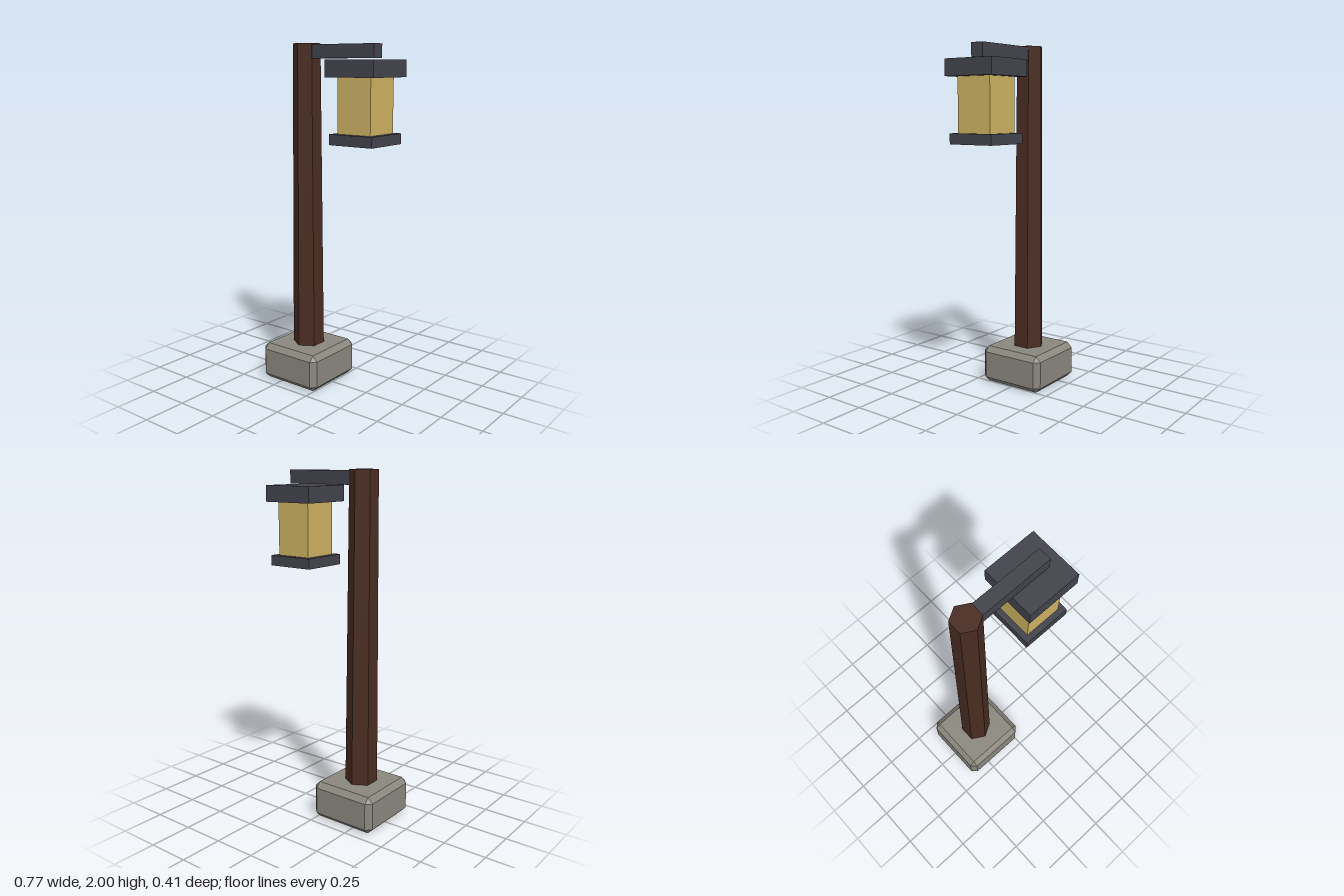
import * as THREE from 'three';
import { ConvexGeometry } from 'three/addons/geometries/ConvexGeometry.js';

const material = (name, color) => {
  const m = new THREE.MeshStandardMaterial({ color });
  m.name = name;
  return m;
};

// Box with every edge cut at 45 degrees: three corner points per corner
function chamferedBox(w, h, d, c) {
  const points = [];
  for (const sx of [-1, 1]) for (const sy of [-1, 1]) for (const sz of [-1, 1]) {
    for (let outer = 0; outer < 3; outer++) {
      const inset = [c, c, c];
      inset[outer] = 0;
      points.push(new THREE.Vector3(
        sx * (w / 2 - inset[0]), sy * (h / 2 - inset[1]), sz * (d / 2 - inset[2])));
    }
  }
  return new ConvexGeometry(points);
}

export function createModel() {
  const stone = material('stone', 0x8a877e);
  const wood = material('dark wood', 0x4a2d22);
  const metal = material('dark metal', 0x43434d);
  const glass = material('lamp glass', 0xcdb262);

  const model = new THREE.Group();
  model.name = 'lampPost';
  const add = (parent, name, geometry, mat, x, y) => {
    const mesh = new THREE.Mesh(geometry, mat);
    mesh.name = name;
    mesh.position.set(x, y, 0);
    parent.add(mesh);
  };
  const box = (w, h, d) => new THREE.BoxGeometry(w, h, d);

  // Stone foot and tapered six-sided post
  const postX = -0.182;
  add(model, 'base', chamferedBox(0.408, 0.22, 0.408, 0.031), stone, postX, 0.11);
  const postGeometry = new THREE.CylinderGeometry(0.079, 0.094, 1.85, 6).toNonIndexed();
  postGeometry.computeVertexNormals();
  add(model, 'post', postGeometry, wood, postX, 1.075);

  // Arm reaching out of the post
  add(model, 'arm', box(0.487, 0.076, 0.076), metal, 0.0615, 1.955);

  // Lantern hanging below the end of the arm
  const lantern = new THREE.Group();
  lantern.name = 'lantern';
  lantern.position.x = 0.227;
  model.add(lantern);
  add(lantern, 'lanternCap', box(0.314, 0.092, 0.314), metal, 0, 1.863);
  add(lantern, 'lanternGlass', box(0.217, 0.32, 0.217), glass, 0, 1.665);
  add(lantern, 'lanternFloor', box(0.282, 0.059, 0.282), metal, 0, 1.485);

  return model;
}
